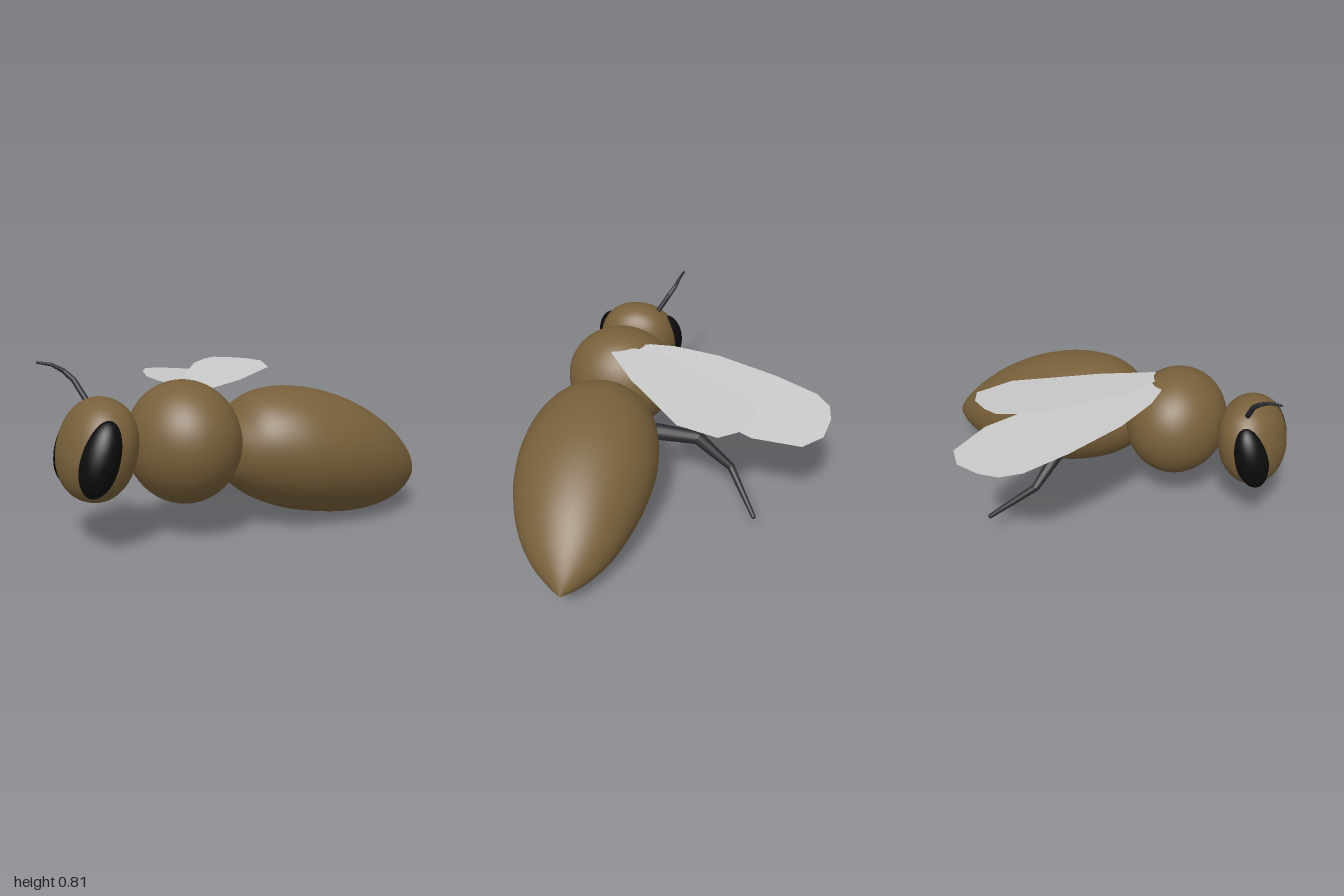
import * as THREE from 'three';

const paint = (name, color) => {
  const m = new THREE.MeshStandardMaterial({ color });
  m.name = name;
  return m;
};

export function createModel() {
  const brown = paint('body brown', 0x78603a);
  const black = paint('eye black', 0x0c0c0c);
  const dark = paint('limb charcoal', 0x2c2d30);
  const grey = paint('wing grey', 0xcacaca);
  grey.side = THREE.DoubleSide;

  const model = new THREE.Group();
  model.name = 'insect';
  const add = (name, geometry, material, parent = model) => {
    const mesh = new THREE.Mesh(geometry, material);
    mesh.name = name;
    parent.add(mesh);
    return mesh;
  };

  // Ellipsoid; a power below 1 makes it slightly boxy
  const ellipsoid = (name, material, centre, radii, tilt = 0, power = 1) => {
    const g = new THREE.SphereGeometry(1, 40, 28);
    const p = g.attributes.position;
    const bulge = (v) => Math.sign(v) * Math.abs(v) ** power;
    if (power !== 1) {
      for (let i = 0; i < p.count; i++) p.setXYZ(i, bulge(p.getX(i)), bulge(p.getY(i)), bulge(p.getZ(i)));
      g.computeVertexNormals();
    }
    g.scale(...radii);
    const mesh = add(name, g, material);
    mesh.position.set(...centre);
    mesh.rotation.z = tilt;
    return mesh;
  };

  // Head, eyes and thorax
  ellipsoid('head', brown, [-0.815, 0.44, 0.38], [0.165, 0.232, 0.225], -0.25, 0.93);
  for (const side of [1, -1]) {
    ellipsoid(side > 0 ? 'frontEye' : 'backEye', black, [-0.86, 0.43, 0.38 + side * 0.16], [0.085, 0.17, 0.092], -0.3);
  }
  ellipsoid('thorax', brown, [-0.395, 0.435, 0.385], [0.262, 0.285, 0.3]);

  // Abdomen: oval cross-sections [x, top, bottom, centre z, half width]
  const sections = [
    [-0.24, 0.43, 0.4, 0.385, 0.015], [-0.2, 0.47, 0.3, 0.39, 0.1],
    [-0.18, 0.505, 0.25, 0.395, 0.15], [-0.14, 0.55, 0.205, 0.4, 0.2],
    [-0.08, 0.608, 0.155, 0.405, 0.25], [0, 0.645, 0.11, 0.408, 0.295],
    [0.12, 0.66, 0.063, 0.41, 0.337], [0.3, 0.64, 0.022, 0.41, 0.355],
    [0.5, 0.575, 0, 0.41, 0.328], [0.7, 0.465, 0.013, 0.4, 0.26],
    [0.85, 0.34, 0.06, 0.385, 0.17], [0.95, 0.225, 0.105, 0.37, 0.07],
    [1, 0.142, 0.138, 0.365, 0.002],
  ];
  const upper = new THREE.CatmullRomCurve3(sections.map((s) => new THREE.Vector3(s[0], s[1], s[3] + s[4])));
  const lower = new THREE.CatmullRomCurve3(sections.map((s) => new THREE.Vector3(s[0], s[2], s[3] - s[4])));
  const rings = 48, sides = 40, points = [], faces = [];
  for (let i = 0; i <= rings; i++) {
    const a = upper.getPoint(i / rings), b = lower.getPoint(i / rings);
    for (let j = 0; j < sides; j++) {
      const t = (j / sides) * Math.PI * 2;
      points.push(a.x, (a.y + b.y) / 2 + ((a.y - b.y) / 2) * Math.cos(t), (a.z + b.z) / 2 + ((a.z - b.z) / 2) * Math.sin(t));
      if (i < rings) {
        const k = i * sides + j, n = i * sides + ((j + 1) % sides);
        faces.push(k, n, k + sides, n, n + sides, k + sides);
      }
    }
  }
  const abdomen = new THREE.BufferGeometry();
  abdomen.setAttribute('position', new THREE.Float32BufferAttribute(points, 3));
  abdomen.setIndex(faces);
  abdomen.computeVertexNormals();
  add('abdomen', abdomen, brown);

  // Wings: flat outlines in x and z, laid on a gently tilted plane
  const wing = (name, outline, height, slopeX, slopeZ) => {
    const shape = new THREE.Shape(outline.map(([x, z]) => new THREE.Vector2(x, -z)));
    const g = new THREE.ShapeGeometry(shape).rotateX(-Math.PI / 2);
    const p = g.attributes.position;
    for (let i = 0; i < p.count; i++) p.setY(i, height + slopeX * p.getX(i) + slopeZ * p.getZ(i));
    g.computeVertexNormals();
    add(name, g, grey);
  };
  wing('largeWing', [
    [-0.33, 0.34], [-0.36, 0.21], [-0.365, 0.08], [-0.32, -0.17], [-0.2, -0.48], [-0.085, -0.7], [0, -0.765],
    [0.1, -0.775], [0.235, -0.745], [0.32, -0.65], [0.3, -0.41], [0.18, -0.18], [0, 0.05], [-0.2, 0.26],
  ], 0.65, -0.075, 0.01);
  wing('smallWing', [
    [-0.25, 0.405], [-0.3, 0.34], [-0.29, 0.27], [-0.24, 0.1], [-0.17, -0.01], [0, -0.25], [0.13, -0.375],
    [0.22, -0.425], [0.3, -0.405], [0.39, -0.35], [0.435, -0.265], [0.355, -0.06], [0.2, 0.07], [0, 0.24],
  ], 0.699, -0.025, -0.075);

  // Tapered jointed limb; each joint is [x, y, z, radius]
  const limb = (name, joints) => {
    const group = new THREE.Group();
    group.name = name;
    model.add(group);
    joints.forEach(([x, y, z, r], i) => {
      const from = new THREE.Vector3(x, y, z);
      add(name + 'Joint', new THREE.SphereGeometry(r, 14, 10), dark, group).position.copy(from);
      if (i === joints.length - 1) return;
      const [x2, y2, z2, r2] = joints[i + 1];
      const to = new THREE.Vector3(x2, y2, z2);
      const span = to.clone().sub(from);
      const part = add(name + 'Segment', new THREE.CylinderGeometry(r2, r, span.length(), 14, 1, true), dark, group);
      part.position.copy(from).addScaledVector(span, 0.5);
      part.quaternion.setFromUnitVectors(new THREE.Vector3(0, 1, 0), span.normalize());
    });
  };
  limb('leg', [
    [0.02, 0.385, 0.1, 0.044], [0.046, 0.395, -0.115, 0.035], [0.09, 0.26, -0.3, 0.02], [0.28, 0.107, -0.445, 0.012],
  ]);
  limb('antenna', [
    [-0.81, 0.64, 0.255, 0.014], [-0.845, 0.725, 0.2, 0.013], [-0.88, 0.765, 0.17, 0.011],
    [-0.93, 0.795, 0.153, 0.008], [-0.99, 0.806, 0.138, 0.006],
  ]);

  return model;
}
